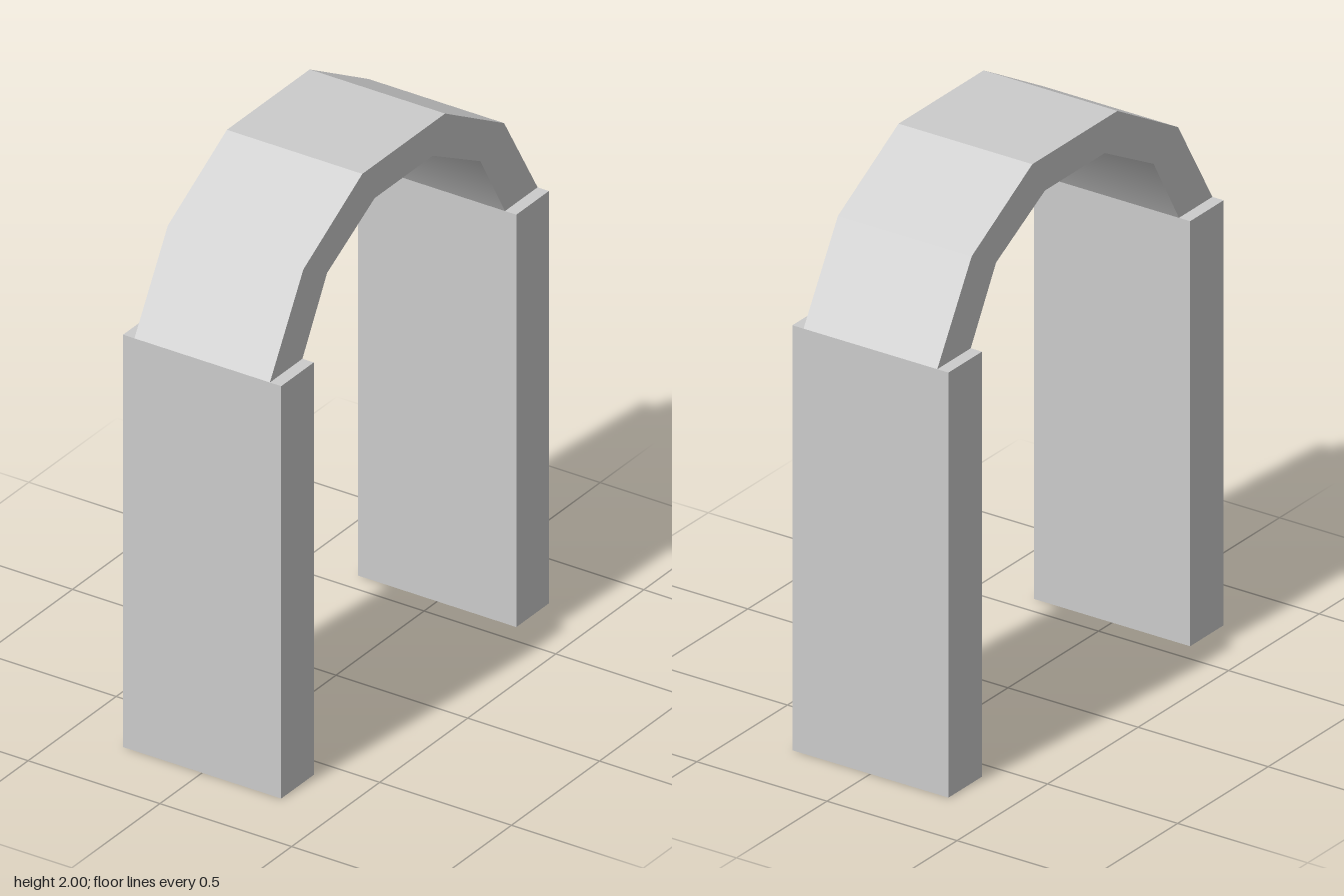
import * as THREE from 'three';

const material = new THREE.MeshStandardMaterial({ color: 0xcccccc, side: THREE.DoubleSide });

const PILLAR = { halfWidth: 0.3, height: 1.49, inner: 0.575, outer: 0.76 };
const ARCH_HALF_WIDTH = 0.257;

// Mirror half a profile of [z, y] points into a full one, from +z to -z
const mirrorProfile = (half) => [...half, ...half.map(([z, y]) => [-z, y]).reverse()];
const outerProfile = mirrorProfile([[0.76, 1.49], [0.57, 1.81], [0.235, 2]]);
const innerProfile = mirrorProfile([[0.575, 1.49], [0.435, 1.735], [0.165, 1.88]]);

function addMesh(parent, name, geometry) {
  const mesh = new THREE.Mesh(geometry, material);
  mesh.name = name;
  parent.add(mesh);
  return mesh;
}

// Sweep a profile across the arch width
function strip(profile, smooth) {
  const positions = [];
  const indices = [];
  profile.forEach(([z, y], i) => {
    positions.push(ARCH_HALF_WIDTH, y, z, -ARCH_HALF_WIDTH, y, z);
    if (i === profile.length - 1) return;
    const a = i * 2;
    indices.push(a, a + 2, a + 1, a + 1, a + 2, a + 3);
  });
  let geometry = new THREE.BufferGeometry();
  geometry.setAttribute('position', new THREE.Float32BufferAttribute(positions, 3));
  geometry.setIndex(indices);
  if (!smooth) geometry = geometry.toNonIndexed();
  geometry.computeVertexNormals();
  return geometry;
}

// Pillar box with an open underside
function pillarGeometry() {
  const { halfWidth, height, inner, outer } = PILLAR;
  const geometry = new THREE.BoxGeometry(halfWidth * 2, height, outer - inner);
  const index = Array.from(geometry.index.array);
  index.splice(18, 6);
  geometry.setIndex(index);
  geometry.clearGroups();
  return geometry;
}

export function createModel() {
  const model = new THREE.Group();
  model.name = 'archway';

  // Pillars at front and back
  for (const [name, side] of [['frontPillar', 1], ['backPillar', -1]]) {
    const pillar = addMesh(model, name, pillarGeometry());
    pillar.position.set(0, PILLAR.height / 2, side * (PILLAR.inner + PILLAR.outer) / 2);
  }

  // Faceted arch with a smooth-shaded underside
  const arch = new THREE.Group();
  arch.name = 'arch';
  model.add(arch);
  addMesh(arch, 'archTop', strip(outerProfile, false));
  addMesh(arch, 'archUnderside', strip([...innerProfile].reverse(), true));

  // Flat side faces of the arch
  const outline = new THREE.Shape(
    [...outerProfile, ...[...innerProfile].reverse()].map(([z, y]) => new THREE.Vector2(z, y))
  );
  for (const [name, side] of [['archLeftFace', 1], ['archRightFace', -1]]) {
    const face = addMesh(arch, name, new THREE.ShapeGeometry(outline).rotateY(side * Math.PI / 2));
    face.position.x = side * ARCH_HALF_WIDTH;
  }

  return model;
}
